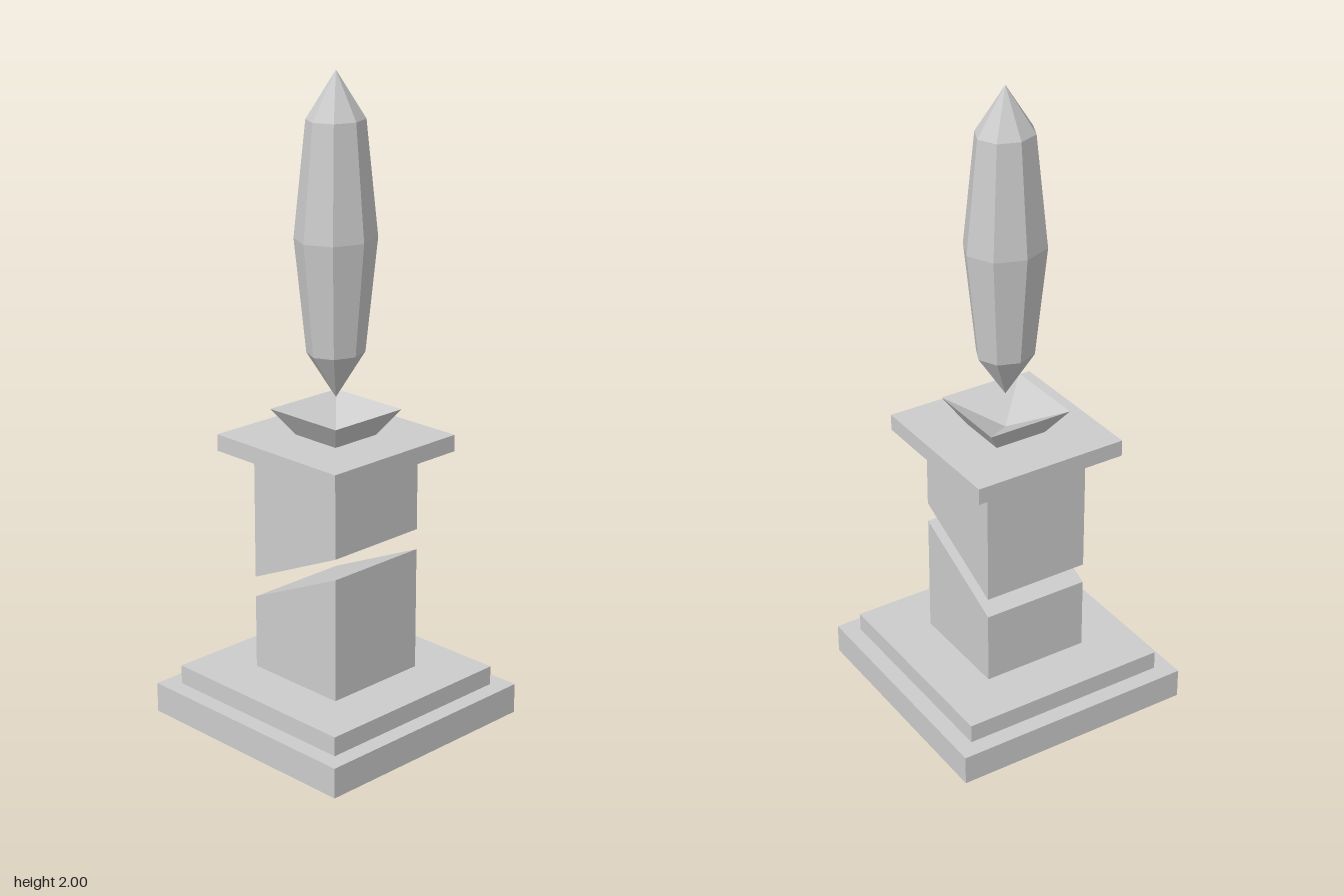
import * as THREE from 'three';

const material = new THREE.MeshStandardMaterial({ color: 0xcccccc, flatShading: true });

function addPart(group, name, geometry) {
  const flat = geometry.index ? geometry.toNonIndexed() : geometry;
  flat.computeVertexNormals();
  const mesh = new THREE.Mesh(flat, material);
  mesh.name = name;
  group.add(mesh);
  return mesh;
}

// Square slab of the given half width between two heights
function addSlab(group, name, half, y0, y1) {
  const slab = addPart(group, name, new THREE.BoxGeometry(half * 2, y1 - y0, half * 2));
  slab.position.y = (y0 + y1) / 2;
}

// Square block whose front outline is given as [x, y] corners
function addBlock(group, name, half, outline) {
  const shape = new THREE.Shape(outline.map(([x, y]) => new THREE.Vector2(x, y)));
  const geometry = new THREE.ExtrudeGeometry(shape, { depth: half * 2, bevelEnabled: false });
  addPart(group, name, geometry.translate(0, 0, -half));
}

// Faceted solid turned from a [radius, y] profile, listed bottom to top
function turned(profile, sides, start = 0) {
  const points = profile.map(([r, y]) => new THREE.Vector2(r, y));
  return new THREE.LatheGeometry(points, sides, start);
}

export function createModel() {
  const model = new THREE.Group();
  model.name = 'crystalPedestal';

  // Stepped base
  addSlab(model, 'basePlinth', 0.392, 0, 0.095);
  addSlab(model, 'baseStep', 0.338, 0.095, 0.155);

  // Square shaft, split by a slanted gap
  const h = 0.173;
  addBlock(model, 'lowerShaft', h, [[-h, 0.155], [h, 0.155], [h, 0.545], [-h, 0.388]]);
  addBlock(model, 'upperShaft', h, [[-h, 0.453], [h, 0.61], [h, 0.86], [-h, 0.86]]);

  // Cap slab
  addSlab(model, 'capSlab', 0.25, 0.86, 0.912);

  // Flared square cradle with a pyramid-shaped hollow in its top
  const d = Math.SQRT2;
  addPart(model, 'cradle', turned(
    [[0, 0.912], [0.085 * d, 0.912], [0.138 * d, 0.992], [0, 0.916]], 4, Math.PI / 4));

  // Floating eight-sided crystal, slightly deeper than wide
  const crystal = turned([[0, 1.03], [0.71, 1.17], [1, 1.515], [0.71, 1.86], [0, 2]], 8);
  addPart(model, 'crystal', crystal.scale(0.115, 1, 0.13));

  return model;
}
